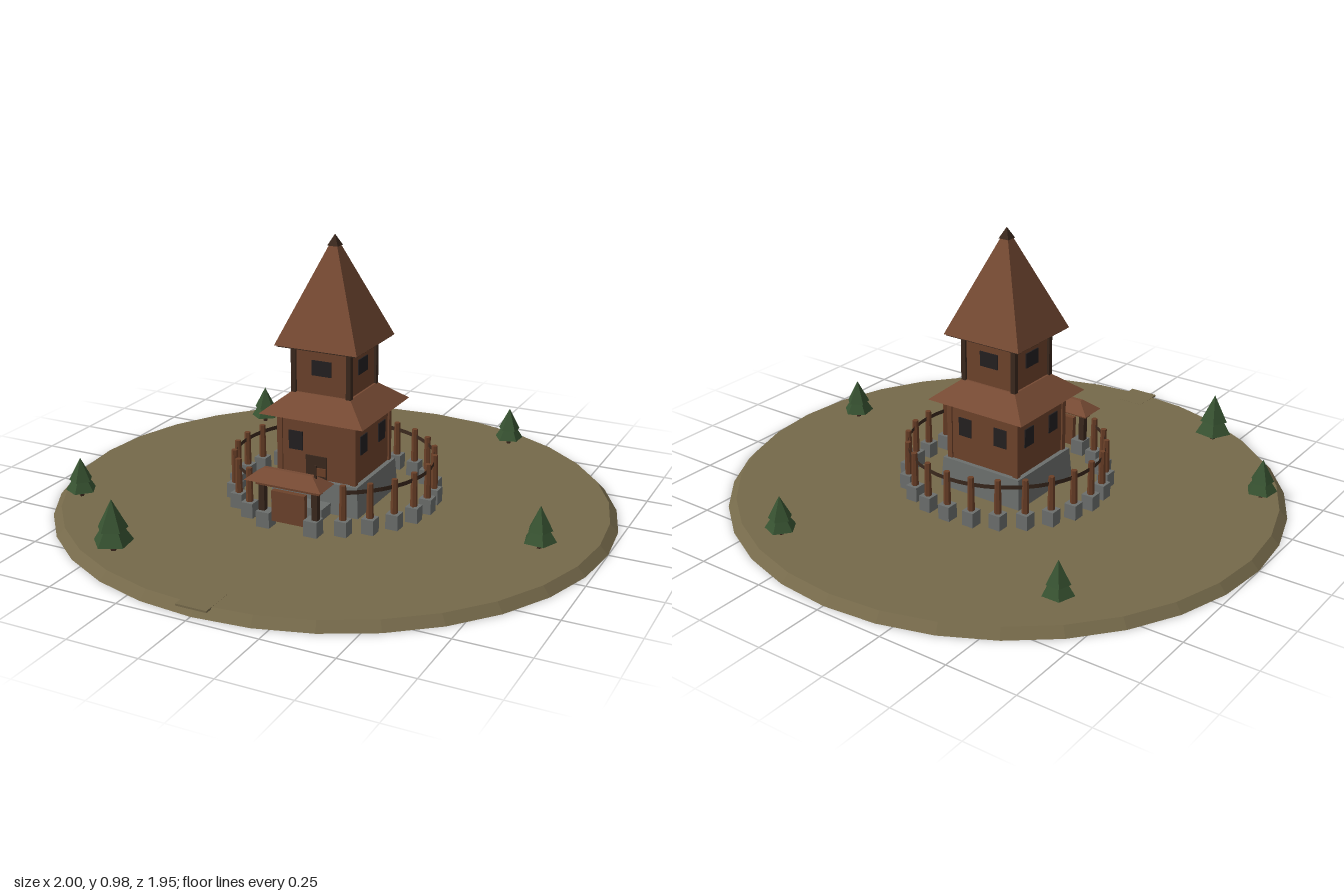
import * as THREE from 'three';

const paint = (name, color, side = THREE.FrontSide) => {
  const m = new THREE.MeshStandardMaterial({ color, side, flatShading: true });
  m.name = name;
  return m;
};

export function createModel() {
  const earth = paint('earth', 0x75694a);
  const stone = paint('stone', 0x6b6e6c);
  const plank = paint('plank', 0x6c422b);
  const shingle = paint('shingle', 0x764a33);
  const timber = paint('dark timber', 0x3a281d, THREE.DoubleSide);
  const post = paint('post wood', 0x6b4028);
  const dark = paint('window dark', 0x231f20);
  const leaf = paint('pine green', 0x375231);

  const root = new THREE.Group();
  root.name = 'watchtower';
  const group = (name, parent = root) => {
    const g = new THREE.Group();
    g.name = name;
    parent.add(g);
    return g;
  };
  const add = (parent, name, geo, mat, x = 0, y = 0, z = 0) => {
    const m = new THREE.Mesh(geo, mat);
    m.name = name;
    m.position.set(x, y, z);
    parent.add(m);
    return m;
  };
  // box given by its bottom and top heights
  const box = (parent, name, mat, w, d, y0, y1, x = 0, z = 0) =>
    add(parent, name, new THREE.BoxGeometry(w, y1 - y0, d), mat, x, (y0 + y1) / 2, z);
  // four-sided tapered block from half sizes at bottom and top
  const taper = (parent, name, mat, low, high, y0, y1) => {
    const g = new THREE.CylinderGeometry(high * Math.SQRT2, low * Math.SQRT2, y1 - y0, 4);
    g.rotateY(Math.PI / 4);
    return add(parent, name, g, mat, 0, (y0 + y1) / 2, 0);
  };

  // Ground island, slightly oval
  const G = 0.03;
  const OVAL = 0.973;
  const ground = add(root, 'ground', new THREE.CylinderGeometry(0.971, 1, G, 32), earth, 0, G / 2, 0);
  ground.scale.z = OVAL;
  box(root, 'pathEnd', earth, 0.11, 0.12, 0.024, G + 0.0005, 0, 0.91);

  // Tower body
  const tower = group('tower');
  tower.scale.z = 0.98;
  taper(tower, 'stoneBase', stone, 0.17, 0.162, 0.02, 0.14);
  box(tower, 'lowerStorey', plank, 0.29, 0.29, 0.14, 0.38);
  box(tower, 'upperStorey', plank, 0.21, 0.21, 0.4, 0.61);
  taper(tower, 'skirtRoof', shingle, 0.198, 0.112, 0.365, 0.435);
  taper(tower, 'spireEave', timber, 0.15, 0.15, 0.6, 0.606);
  taper(tower, 'spireRoof', shingle, 0.156, 0.008, 0.605, 0.957);
  taper(tower, 'spireCap', timber, 0.02, 0.001, 0.938, 0.975);
  for (const sx of [-1, 1]) for (const sz of [-1, 1]) {
    box(tower, 'lowerCornerPost', plank, 0.02, 0.02, 0.14, 0.37, sx * 0.141, sz * 0.141);
    box(tower, 'upperCornerPost', timber, 0.018, 0.018, 0.42, 0.606, sx * 0.105, sz * 0.105);
  }

  // Windows on each of the four faces
  for (let i = 0; i < 4; i++) {
    const face = group('towerFace', tower);
    face.rotation.y = i * Math.PI / 2;
    box(face, 'upperWindow', dark, 0.074, 0.006, 0.502, 0.556, 0, 0.106);
    for (const x of i === 0 ? [-0.08] : [-0.075, 0.075])
      box(face, 'lowerWindow', dark, 0.053, 0.006, 0.237, 0.305, x, 0.146);
  }

  // Entrance
  box(tower, 'doorStep', stone, 0.13, 0.08, 0.02, 0.07, 0, 0.2);
  box(tower, 'towerDoor', timber, 0.08, 0.006, 0.14, 0.225, 0, 0.147);

  // Palisade ring, open toward the gate
  const fence = group('palisade');
  const R = 0.356;
  const stoneGeo = new THREE.BoxGeometry(0.045, 0.058, 0.045);
  const postGeo = new THREE.CylinderGeometry(0.011, 0.013, 0.13, 6);
  for (let i = 2; i <= 22; i++) {
    const a = i * Math.PI / 12;
    const x = R * Math.sin(a), z = R * OVAL * Math.cos(a);
    add(fence, 'fenceFooting', stoneGeo, stone, x, 0.055, z);
    add(fence, 'fencePost', postGeo, post, x, 0.142, z);
  }
  // thin band running through the posts
  const rail = add(fence, 'fenceRail', new THREE.CylinderGeometry(R, R, 0.015, 40, 1, true,
    Math.PI / 6, Math.PI * 5 / 3), timber, 0, 0.18, 0);
  rail.scale.z = OVAL;

  // Gatehouse
  const gate = group('gatehouse');
  gate.position.z = 0.345;
  for (const s of [-1, 1]) {
    box(gate, 'gateFooting', stone, 0.05, 0.05, 0.025, 0.086, s * 0.09);
    box(gate, 'gatePost', timber, 0.022, 0.022, 0.08, 0.208, s * 0.1);
  }
  box(gate, 'gateDoor', plank, 0.125, 0.02, 0.055, 0.165);
  box(gate, 'gateLintel', plank, 0.24, 0.03, 0.18, 0.207);
  const hip = new THREE.CylinderGeometry(Math.SQRT2, Math.SQRT2, 0.038, 4);
  hip.rotateY(Math.PI / 4);
  const p = hip.attributes.position;
  for (let i = 0; i < p.count; i++) {
    const top = p.getY(i) > 0;
    p.setX(i, p.getX(i) * (top ? 0.092 : 0.144));
    p.setZ(i, p.getZ(i) * (top ? 0.008 : 0.051));
  }
  hip.computeVertexNormals();
  add(gate, 'gateRoof', hip, shingle, 0, 0.223, 0);
  box(gate, 'flagPole', timber, 0.008, 0.008, 0.2, 0.28, 0.1);
  box(gate, 'flag', post, 0.034, 0.004, 0.245, 0.272, 0.121);

  // Pine trees: x, z, height above ground
  const trees = [
    [-0.596, -0.562, 0.142], [0.382, -0.758, 0.142], [0.798, 0.108, 0.149],
    [-0.8, 0.414, 0.144], [-0.438, 0.74, 0.179],
  ];
  trees.forEach(([x, z, h], i) => {
    const t = group('pineTree');
    t.position.set(x, G, z);
    t.rotation.y = i * 0.9;
    t.scale.setScalar(h / 0.14);
    add(t, 'trunk', new THREE.CylinderGeometry(0.007, 0.009, 0.054, 5), timber, 0, 0.005, 0);
    add(t, 'lowerBranches', new THREE.ConeGeometry(0.054, 0.085, 5), leaf, 0, 0.066, 0);
    add(t, 'upperBranches', new THREE.ConeGeometry(0.041, 0.08, 5), leaf, 0, 0.1, 0);
  });

  return root;
}
